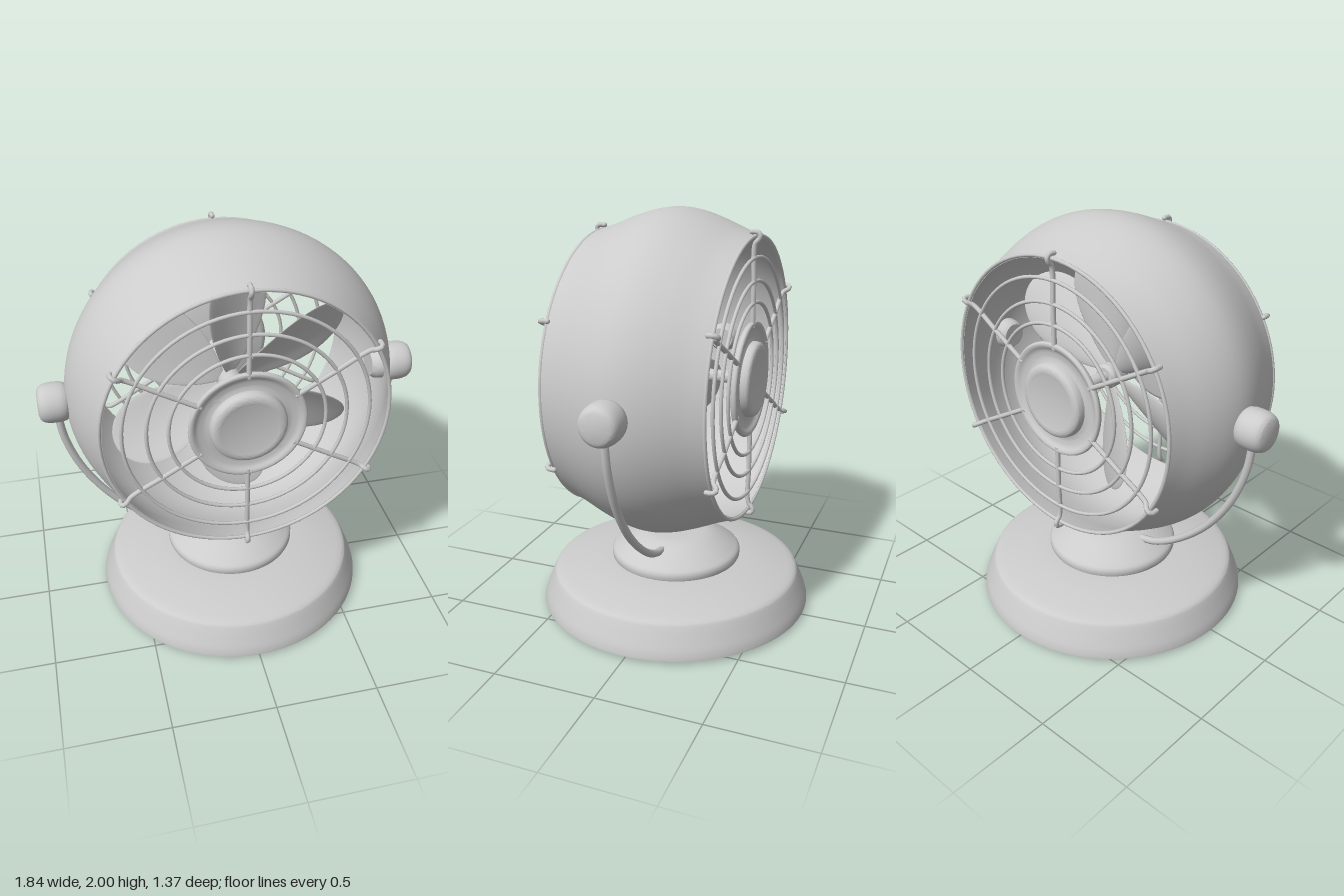
import * as THREE from 'three';
import { toCreasedNormals } from 'three/addons/utils/BufferGeometryUtils.js';

const V = (x, y, z) => new THREE.Vector3(x, y, z);
const material = new THREE.MeshStandardMaterial({ color: 0xcccccc, side: THREE.DoubleSide });

function add(parent, name, geometry) {
  const mesh = new THREE.Mesh(geometry, material);
  mesh.name = name;
  parent.add(mesh);
  return mesh;
}

// Turned part from [radius, height] pairs, with sharp edges kept sharp
function turned(points, segments = 72) {
  const geo = new THREE.LatheGeometry(points.map(p => new THREE.Vector2(p[0], p[1])), segments);
  return toCreasedNormals(geo, 0.6);
}

// Smooth run of profile points through a few guides
function smooth(points, n) {
  return new THREE.SplineCurve(points.map(p => new THREE.Vector2(p[0], p[1])))
    .getPoints(n).map(p => [p.x, p.y]);
}

function wire(points, radius, segments) {
  return new THREE.TubeGeometry(new THREE.CatmullRomCurve3(points), segments, radius, 8);
}

function addBase(group) {
  // Heavy foot with an open middle
  add(group, 'baseFoot', turned([
    [0.34, 0.23], [0.34, 0.0], [0.55, 0.0], [0.56, 0.01], [0.675, 0.01], [0.685, 0.015], [0.684, 0.03],
    ...smooth([[0.675, 0.06], [0.635, 0.155], [0.618, 0.178], [0.585, 0.191]], 12),
    [0.46, 0.216], [0.37, 0.23], [0.325, 0.232],
  ], 96));
  add(group, 'baseDome', turned([
    [0.325, 0.228], [0.33, 0.24], [0.33, 0.265],
    ...smooth([[0.322, 0.277], [0.27, 0.313], [0.21, 0.347], [0.16, 0.365], [0.11, 0.37]], 14),
    [0, 0.37],
  ]));
}

function addBracket(group) {
  // Curved arms from the base up to the pivots, and the pivot knobs
  const arm = [[0.21, 0.338], [0.29, 0.357], [0.42, 0.43], [0.6, 0.592], [0.735, 0.79], [0.81, 0.99], [0.838, 1.2]];
  const knob = [[0, 0.71], [0.06, 0.71], [0.075, 0.73], [0.08, 0.78],
    ...smooth([[0.09, 0.79], [0.096, 0.82], [0.094, 0.875], [0.08, 0.907], [0.055, 0.918]], 14), [0, 0.92]];
  for (const s of [1, -1]) {
    const side = s > 0 ? 'left' : 'right';
    add(group, side + 'BracketArm', wire(arm.map(p => V(s * p[0], p[1], 0)), 0.019, 40));
    const end = add(group, side + 'BracketEnd', new THREE.SphereGeometry(0.019, 12, 8));
    end.position.set(s * 0.21, 0.338, 0);
    const pivot = add(group, side + 'PivotKnob', turned(knob, 40));
    pivot.rotation.z = -s * Math.PI / 2;
    pivot.position.y = 1.21;
  }
}

function addHousing(head) {
  // Barrel shell, open at front and back
  const outer = smooth([[0.675, -0.38], [0.703, -0.3], [0.748, -0.19], [0.779, -0.09], [0.79, 0],
    [0.779, 0.09], [0.748, 0.19], [0.703, 0.3], [0.675, 0.38]], 40);
  const inner = outer.map(([r, z]) => [r - 0.014, z]).reverse();
  add(head, 'housing', turned([...outer, ...inner, outer[0]], 96).rotateX(Math.PI / 2));
}

// Wire guard facing +z
function makeGrille(name) {
  const grille = new THREE.Group();
  grille.name = name;
  for (const [r, z] of [[0.672, 0.381], [0.575, 0.384], [0.465, 0.384], [0.365, 0.384]]) {
    add(grille, 'guardRing', new THREE.TorusGeometry(r, 0.009, 8, 80)).position.z = z;
  }
  for (let i = 0; i < 6; i++) {
    // Spoke that hooks over the rim
    const spoke = add(grille, 'guardSpoke', wire([V(0.25, 0, 0.382), V(0.45, 0, 0.382), V(0.64, 0, 0.384),
      V(0.66, 0, 0.402), V(0.68, 0, 0.408), V(0.693, 0, 0.395), V(0.693, 0, 0.368)], 0.012, 32));
    spoke.rotation.z = Math.PI / 6 + i * Math.PI / 3;
    const tip = add(spoke, 'spokeTip', new THREE.SphereGeometry(0.012, 10, 8));
    tip.position.set(0.693, 0, 0.368);
  }
  // Dished disc with a raised middle
  add(grille, 'guardDisc', turned([
    [0, 0.355], [0.25, 0.355],
    ...smooth([[0.268, 0.362], [0.278, 0.378], [0.272, 0.392], [0.255, 0.39], [0.235, 0.378], [0.2, 0.374]], 14),
    ...smooth([[0.182, 0.38], [0.18, 0.4], [0.172, 0.416], [0.15, 0.423], [0.13, 0.42]], 12),
    [0, 0.417],
  ]).rotateX(Math.PI / 2));
  return grille;
}

function bladeGeometry() {
  // Flattened egg along +x, narrow at the root and slightly cupped
  const geo = new THREE.SphereGeometry(1, 32, 24).rotateZ(-Math.PI / 2);
  const p = geo.attributes.position;
  for (let i = 0; i < p.count; i++) {
    const u = p.getX(i), v = p.getY(i);
    const width = 0.165 * (1 + 0.4 * u - 0.12 * u * u);
    p.setXYZ(i, 0.345 + 0.305 * u, v * width, p.getZ(i) * 0.014 + 0.03 * v * v);
  }
  geo.computeVertexNormals();
  return geo;
}

function addFan(head) {
  const fan = new THREE.Group();
  fan.name = 'fan';
  add(fan, 'fanShaft', new THREE.CylinderGeometry(0.03, 0.03, 0.72, 24).rotateX(Math.PI / 2));
  add(fan, 'fanHub', turned([[0, -0.06], [0.05, -0.06], [0.062, -0.045], [0.062, 0.045], [0.05, 0.06], [0, 0.06]], 32)
    .rotateX(Math.PI / 2));
  const blade = bladeGeometry().rotateX(THREE.MathUtils.degToRad(28));
  for (const angle of [87, 32, -28, -88, 209, 143]) {
    add(fan, 'fanBlade', blade).rotation.z = THREE.MathUtils.degToRad(angle);
  }
  head.add(fan);
}

export function createModel() {
  const model = new THREE.Group();
  model.name = 'deskFan';
  addBase(model);
  addBracket(model);

  const head = new THREE.Group();
  head.name = 'fanHead';
  head.position.y = 1.21;
  addHousing(head);
  addFan(head);
  const back = makeGrille('backGrille');
  back.rotation.y = Math.PI;
  head.add(makeGrille('frontGrille'), back);
  model.add(head);
  return model;
}
